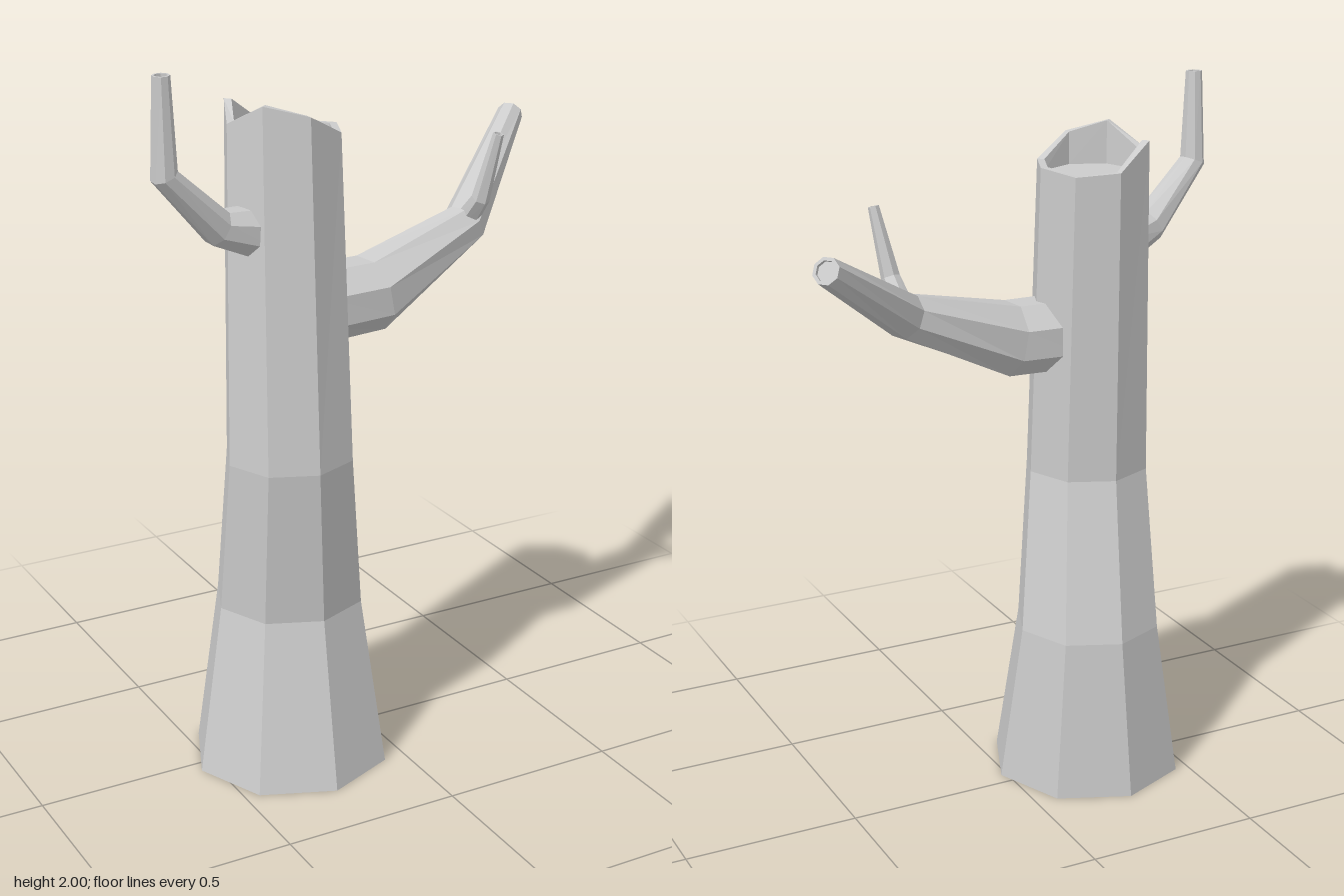
import * as THREE from 'three';

const V = (x, y, z) => new THREE.Vector3(x, y, z);
const material = new THREE.MeshStandardMaterial({ color: 0xcccccc, flatShading: true });

// One ring of points around a centre, counter-clockwise about the axis, starting near ref
function ring(center, axis, ref, radius, sides, phase = 0) {
  const v = ref.clone().addScaledVector(axis, -ref.dot(axis)).normalize();
  const w = axis.clone().cross(v);
  return Array.from({ length: sides }, (_, i) => {
    const a = ((i + phase) / sides) * Math.PI * 2;
    return center.clone()
      .addScaledVector(v, Math.cos(a) * radius)
      .addScaledVector(w, Math.sin(a) * radius);
  });
}

// Skin consecutive rings and close both ends
function loft(name, rings) {
  const points = [];
  const n = rings[0].length;
  const middle = (r) => r.reduce((s, p) => s.add(p), V(0, 0, 0)).divideScalar(n);
  const first = rings[0];
  const last = rings[rings.length - 1];
  const c0 = middle(first);
  const c1 = middle(last);
  for (let j = 0; j < n; j++) {
    const k = (j + 1) % n;
    for (let i = 0; i < rings.length - 1; i++) {
      const a = rings[i];
      const b = rings[i + 1];
      points.push(a[j], a[k], b[k], a[j], b[k], b[j]);
    }
    points.push(c0, first[k], first[j], c1, last[j], last[k]);
  }
  const geometry = new THREE.BufferGeometry().setFromPoints(points);
  geometry.computeVertexNormals();
  const mesh = new THREE.Mesh(geometry, material);
  mesh.name = name;
  return mesh;
}

// Tapering limb along a bent path, mitred at the bends, with a shallow hollow at the tip
function limb(name, path, ref, sides) {
  const centers = path.map(([x, y, z]) => V(x, y, z));
  const dirs = centers.slice(1).map((p, i) => p.clone().sub(centers[i]).normalize());
  const rings = centers.map((c, i) => {
    const axis = (dirs[i - 1] ?? dirs[i]).clone().add(dirs[i] ?? dirs[i - 1]).normalize();
    return ring(c, axis, ref, path[i][3], sides, 0.5);
  });
  const tip = centers[centers.length - 1];
  const axis = dirs[dirs.length - 1];
  const inner = path[path.length - 1][3] * 0.75;
  rings.push(ring(tip, axis, ref, inner, sides, 0.5));
  rings.push(ring(tip.clone().addScaledVector(axis, -0.01), axis, ref, inner, sides, 0.5));
  return loft(name, rings);
}

// Eight-sided trunk with a flared foot and a jagged, hollow broken top
function trunk() {
  const up = V(0, 1, 0);
  const front = V(0, 0, 1);
  const level = (x, y, z, r) => ring(V(x, y, z), up, front, r, 8);
  const jagged = [1.86, 1.8, 1.8, 1.79, 1.8, 1.87, 1.83, 1.89];
  const rim = (r) => level(-0.262, 0, 0.043, r).map((p, i) => p.setY(jagged[i]));
  return loft('trunk', [
    level(-0.262, 0, 0.042, 0.28),
    level(-0.245, 0.47, 0.01, 0.21),
    level(-0.277, 0.92, 0.087, 0.178),
    rim(0.158),
    rim(0.137),
    level(-0.262, 1.77, 0.043, 0.135),
  ]);
}

export function createModel() {
  const group = new THREE.Group();
  group.name = 'deadTree';
  group.add(
    trunk(),
    // Long branch on the left, reaching backwards
    limb('longBranch', [
      [-0.2, 1.325, 0.075, 0.107],
      [-0.015, 1.33, 0.068, 0.106],
      [0.32, 1.455, -0.005, 0.063],
      [0.648, 1.682, -0.285, 0.037],
    ], V(0, 1, 0), 8),
    // Small twig on the long branch
    limb('twig', [
      [0.325, 1.47, 0.0, 0.034],
      [0.33, 1.545, 0.065, 0.026],
      [0.357, 1.73, 0.106, 0.015],
    ], V(1, 0, 0), 6),
    // Short branch on the right, bending upwards
    limb('shortBranch', [
      [-0.35, 1.55, 0.09, 0.076],
      [-0.49, 1.588, 0.122, 0.05],
      [-0.648, 1.748, 0.16, 0.036],
      [-0.653, 2.0, 0.172, 0.023],
    ], V(0, 0, 1), 8),
  );
  return group;
}
